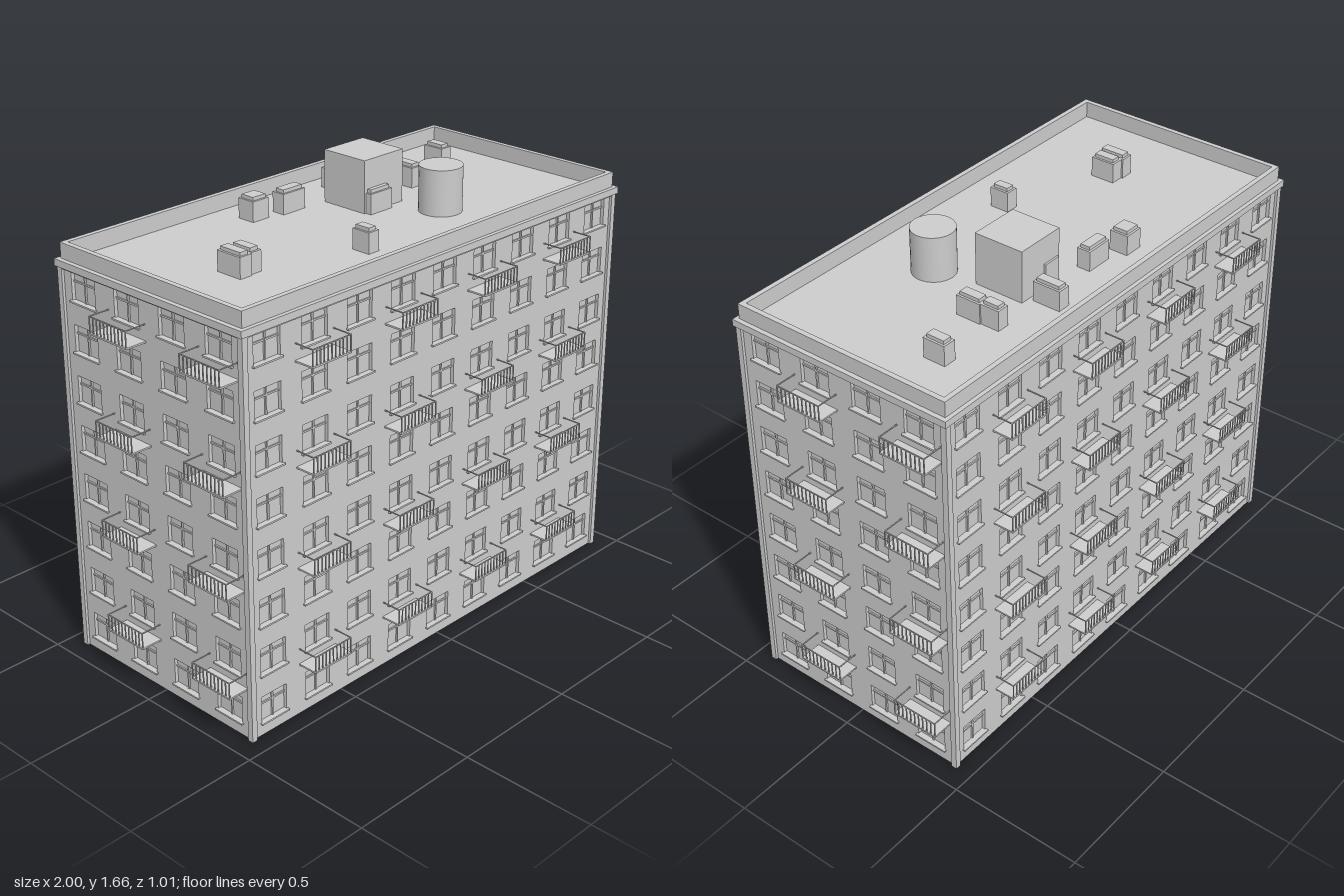
import * as THREE from 'three';
import { mergeGeometries } from 'three/addons/utils/BufferGeometryUtils.js';

const HX = 0.918, HZ = 0.43;          // half size of the wall block
const WALL_TOP = 1.455, ROOF = 1.468, PARAPET = 1.528;
const FLOORS = 8, FLOOR_H = 0.184, SILL_Y = 0.049, WIN_H = 0.099;

// box given by its min and max corners
function box(x0, x1, y0, y1, z0, z1) {
  return new THREE.BoxGeometry(x1 - x0, y1 - y0, z1 - z0)
    .translate((x0 + x1) / 2, (y0 + y1) / 2, (z0 + z1) / 2);
}

function rectPath(Type, x0, x1, y0, y1) {
  const p = new Type();
  p.moveTo(x0, y0); p.lineTo(x1, y0); p.lineTo(x1, y1); p.lineTo(x0, y1); p.closePath();
  return p;
}

// rectangular ring around the building
function ring(ox, oz, ix, iz, y0, y1) {
  const s = rectPath(THREE.Shape, -ox, ox, -oz, oz);
  s.holes.push(rectPath(THREE.Path, -ix, ix, -iz, iz));
  return new THREE.ExtrudeGeometry(s, { depth: y1 - y0, bevelEnabled: false })
    .rotateX(-Math.PI / 2).translate(0, y0, 0);
}

// balcony slab with an open railing, wall at z = 0
function balcony(x, y, w, depth) {
  const h = w / 2, t = 0.0035, top = y + 0.065;
  const parts = [
    box(-h, h, y, y + 0.006, 0, depth),
    box(-h, h, top - t, top, depth - t, depth),
    box(-h, -h + t, top - t, top, 0, depth),
    box(h - t, h, top - t, top, 0, depth),
  ];
  const bars = 11;
  for (let i = 0; i < bars; i++) {
    const bx = -h + t / 2 + (i / (bars - 1)) * (w - t);
    parts.push(box(bx - t / 2, bx + t / 2, y, top, depth - t, depth));
  }
  return mergeGeometries(parts).translate(x, 0, 0);
}

// one facade in its own frame: outer face at z = 0, looking along +z
function facade(o, mat) {
  const g = new THREE.Group();
  const wall = rectPath(THREE.Shape, -o.half, o.half, 0, WALL_TOP);
  const panes = [], frames = [], sills = [], balconies = [];
  const w = o.winW / 2, deep = 0.014;
  for (let f = 0; f < FLOORS; f++) {
    const y0 = SILL_Y + f * FLOOR_H, y1 = y0 + WIN_H;
    for (let c = 0; c < o.columns; c++) {
      const x = (c - (o.columns - 1) / 2) * o.pitch;
      wall.holes.push(rectPath(THREE.Path, x - w, x + w, y0, y1));
      panes.push(new THREE.PlaneGeometry(o.winW, WIN_H).translate(x, (y0 + y1) / 2, -deep + 0.001));
      frames.push(box(x - 0.003, x + 0.003, y0, y1, -deep, -0.007));
      frames.push(box(x - w, x + w, y0 + 0.064, y0 + 0.07, -deep, -0.008));
      sills.push(box(x - w - 0.006, x + w + 0.006, y0 - 0.005, y0 + 0.001, -0.01, 0.01));
      if (f % 2 && c % 2) balconies.push(balcony(x, 0.19 + (f - 1) * FLOOR_H, o.balW, o.balD));
    }
  }
  const add = (name, geo) => {
    const m = new THREE.Mesh(geo, mat);
    m.name = name;
    g.add(m);
  };
  add('wall', new THREE.ExtrudeGeometry(wall, { depth: deep, bevelEnabled: false }).translate(0, 0, -deep));
  add('windowPanes', mergeGeometries(panes));
  add('windowFrames', mergeGeometries(frames));
  add('windowSills', mergeGeometries(sills));
  add('balconies', mergeGeometries(balconies));
  return g;
}

export function createModel() {
  const model = new THREE.Group();
  model.name = 'apartmentBlock';
  const concrete = new THREE.MeshStandardMaterial({ color: 0xcccccc, side: THREE.DoubleSide });
  concrete.name = 'concrete';
  const add = (name, geo) => {
    const m = new THREE.Mesh(geo, concrete);
    m.name = name;
    model.add(m);
  };

  // four facades; opposite ones are turned by half a circle
  const long = { half: HX, columns: 9, pitch: 0.2045, winW: 0.113, balW: 0.172, balD: 0.507 - HZ };
  const short = { half: HZ, columns: 4, pitch: 0.215, winW: 0.118, balW: 0.181, balD: 1 - HX };
  [['front', long, HZ], ['left', short, HX], ['back', long, HZ], ['right', short, HX]]
    .forEach(([side, o, dist], i) => {
      const f = facade(o, concrete);
      const a = i * Math.PI / 2;
      f.name = side + 'Facade';
      f.rotation.y = a;
      f.position.set(Math.sin(a) * dist, 0, Math.cos(a) * dist);
      model.add(f);
    });

  // corner posts
  for (const sx of [-1, 1]) for (const sz of [-1, 1])
    add('cornerPost', new THREE.BoxGeometry(0.022, WALL_TOP, 0.022)
      .translate(sx * (HX - 0.001), WALL_TOP / 2, sz * (HZ - 0.001)));

  // cornice, parapet and roof
  add('cornice', ring(0.935, 0.445, 0.9, 0.412, 1.447, 1.472));
  add('corniceLip', ring(0.927, 0.438, 0.9, 0.412, 1.44, 1.447));
  add('parapet', ring(HX, HZ, 0.899, 0.411, 1.46, PARAPET));
  add('roof', new THREE.PlaneGeometry(1.81, 0.83).rotateX(-Math.PI / 2).translate(0, ROOF, 0));

  // stair house with door, and water tank
  add('stairHouse', box(0.09, 0.285, ROOF, 1.66, -0.215, -0.022));
  add('stairHouseDoor', box(0.1, 0.17, ROOF, 1.56, -0.223, -0.214));
  add('waterTank', new THREE.CylinderGeometry(0.078, 0.078, 1.635 - ROOF, 32)
    .translate(0.305, (1.635 + ROOF) / 2, 0.14));

  // roof vents: x0, x1, z0, z1
  const vents = [
    [-0.24, -0.165, -0.307, -0.235], [-0.112, -0.006, -0.27, -0.217],
    [0.2, 0.25, -0.34, -0.233], [0.412, 0.46, -0.26, -0.185],
    [0.414, 0.465, -0.188, -0.092], [0.663, 0.714, -0.254, -0.168],
    [-0.64, -0.59, 0.02, 0.127], [-0.59, -0.54, 0.026, 0.12],
    [-0.193, -0.144, 0.19, 0.265], [0.097, 0.205, -0.06, 0.002],
  ];
  for (const [x0, x1, z0, z1] of vents) {
    const i = 0.008;
    add('vent', mergeGeometries([
      box(x0, x1, ROOF, 1.542, z0, z1),
      box(x0 + i, x1 - i, 1.542, 1.555, z0 + i, z1 - i),
    ]));
  }
  return model;
}
